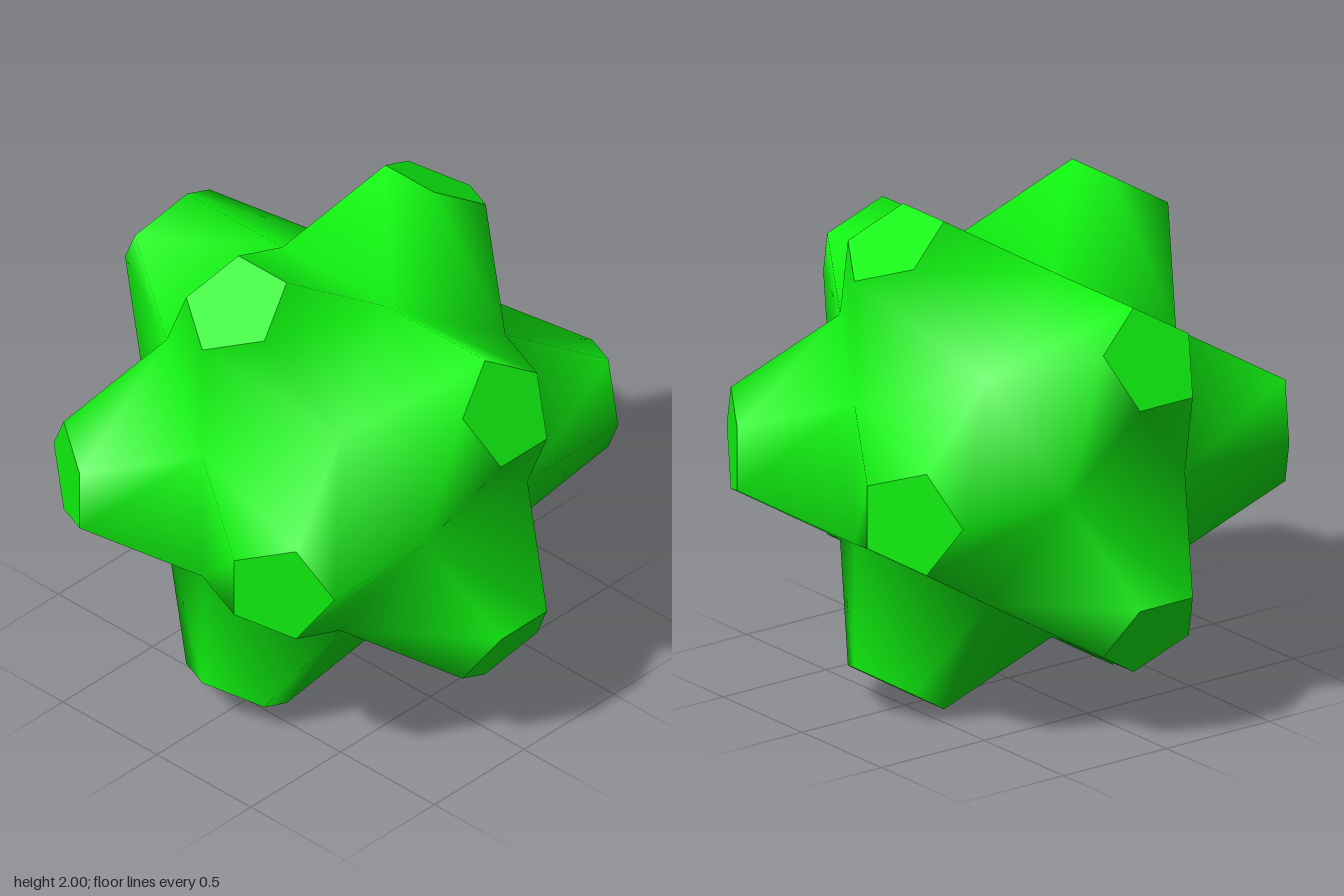
import * as THREE from 'three';
import { mergeVertices } from 'three/addons/utils/BufferGeometryUtils.js';

const PHI = (1 + Math.sqrt(5)) / 2;
const CUT = 0.172;                      // share of each long edge removed at the tip
const VALLEY = 2 - PHI;                 // where the long edges cross one another
const SCALE = 1 / (PHI * (1 - CUT));

// The twelve spike tips, before they are cut off
function spikeTips() {
  const tips = [];
  for (const a of [-1, 1]) for (const b of [-PHI, PHI]) {
    tips.push(new THREE.Vector3(0, b, a), new THREE.Vector3(b, a, 0), new THREE.Vector3(a, 0, b));
  }
  return tips.map((t) => t.multiplyScalar(SCALE));
}

// The five far tips joined to this one by long edges, counterclockwise seen from outside
function farTips(tip, tips) {
  const axis = tip.clone().normalize();
  const far = tips.filter((t) => t.dot(tip) < 0 && t.distanceTo(tip) < 1.99 * tip.length());
  const u = far[0].clone().projectOnPlane(axis).normalize();
  const v = axis.clone().cross(u);
  return far.sort((p, q) => Math.atan2(p.dot(v), p.dot(u)) - Math.atan2(q.dot(v), q.dot(u)));
}

function fromPoints(points) {
  return new THREE.BufferGeometry().setFromPoints(points);
}

export function createModel() {
  const group = new THREE.Group();
  group.name = 'truncatedStarPolyhedron';
  const material = new THREE.MeshStandardMaterial({ color: 0x10f510 });
  const tips = spikeTips();
  const sides = [];

  tips.forEach((tip, n) => {
    const far = farTips(tip, tips);
    const rim = far.map((f) => tip.clone().lerp(f, CUT));
    const base = far.map((f) => tip.clone().lerp(f, VALLEY));
    const cap = [];
    for (let i = 0; i < 5; i++) {
      const j = (i + 1) % 5;
      // Sloping side of the spike
      sides.push(rim[i], base[i], base[j], rim[i], base[j], rim[j]);
      // Flat pentagon on the cut tip
      if (i > 0 && i < 4) cap.push(rim[0], rim[i], rim[j]);
    }
    const capGeometry = fromPoints(cap);
    capGeometry.computeVertexNormals();
    const capMesh = new THREE.Mesh(capGeometry, material);
    capMesh.name = `pentagonCap${n + 1}`;
    group.add(capMesh);
  });

  // All spike sides share their corners, so the shading runs smoothly across them
  const body = mergeVertices(fromPoints(sides), 1e-3);
  body.computeVertexNormals();
  const bodyMesh = new THREE.Mesh(body, material);
  bodyMesh.name = 'spikedBody';
  group.add(bodyMesh);

  group.position.y = 1;
  return group;
}
